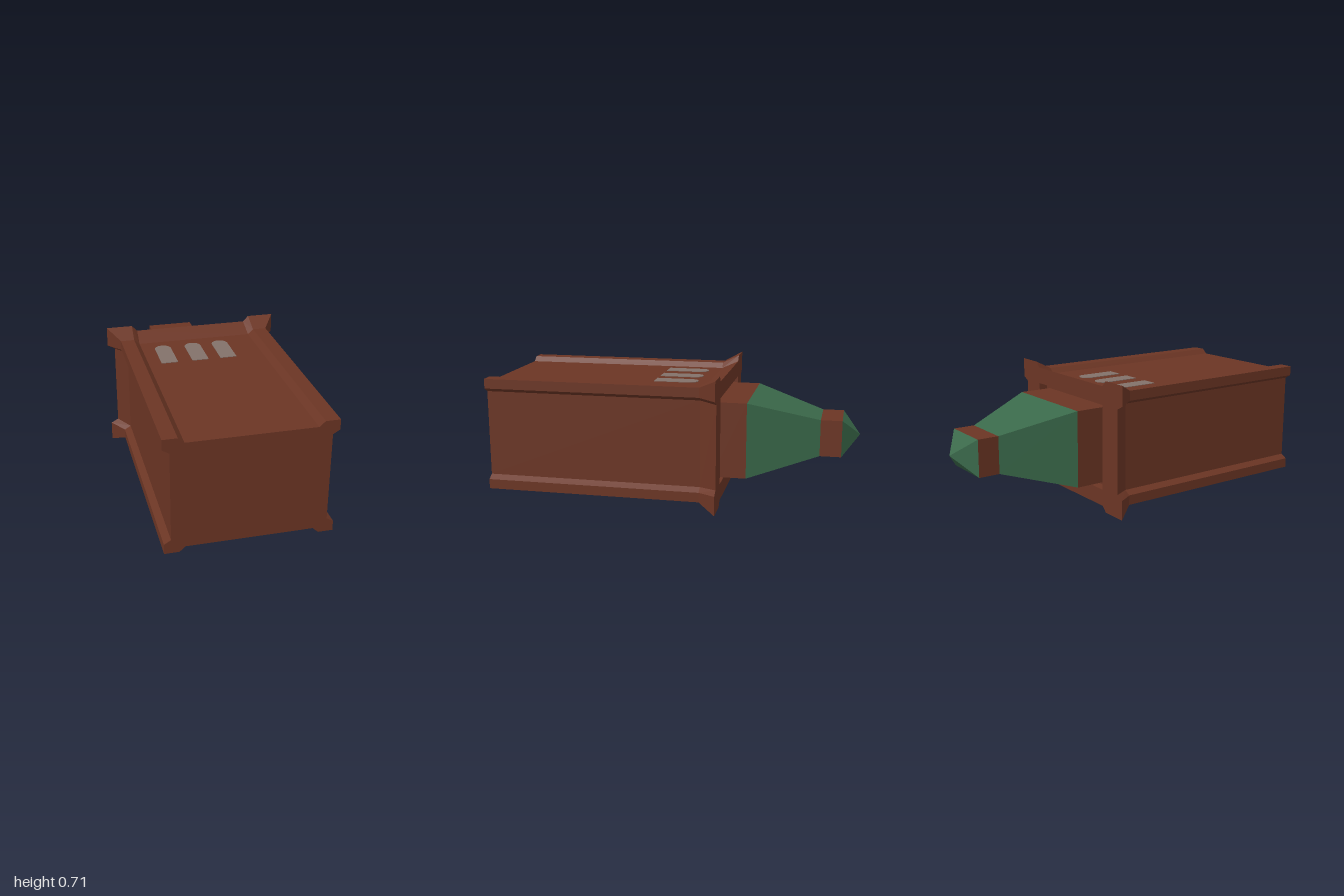
import * as THREE from 'three';

const CY = 0.357; // height of the long axis

// Ring of corner points, counter-clockwise seen from +z, mirrored into four quadrants.
function quadrants(pts) {
  const back = pts.slice().reverse();
  return [
    ...pts.map(([x, y]) => [x, y]),
    ...back.map(([x, y]) => [-x, y]),
    ...pts.map(([x, y]) => [-x, -y]),
    ...back.map(([x, y]) => [x, -y]),
  ];
}
const rect = (w, h) => quadrants([[w, h]]);

// Flat-shaded skin through rings placed from front (+z) to back (-z).
function loft(sections) {
  const pos = [];
  for (let s = 0; s < sections.length - 1; s++) {
    const [a, za] = sections[s];
    const [b, zb] = sections[s + 1];
    a.forEach((p, i) => {
      const j = (i + 1) % a.length;
      const ai = [...a[i], za], aj = [...a[j], za];
      const bi = [...b[i], zb], bj = [...b[j], zb];
      pos.push(...ai, ...bi, ...bj, ...ai, ...bj, ...aj);
    });
  }
  const g = new THREE.BufferGeometry();
  g.setAttribute('position', new THREE.Float32BufferAttribute(pos, 3));
  g.computeVertexNormals();
  return g;
}

const toVec = (ring) => ring.map(([x, y]) => new THREE.Vector2(x, y));

// Flat end face, optionally with an opening.
function cap(ring, z, facesBack, hole) {
  const shape = new THREE.Shape(toVec(ring));
  if (hole) shape.holes.push(new THREE.Path(toVec(hole)));
  const g = new THREE.ShapeGeometry(shape);
  if (facesBack) g.rotateY(Math.PI);
  return g.translate(0, 0, z);
}

export function createModel() {
  const brick = new THREE.MeshStandardMaterial({ color: 0x6b3524 });
  brick.name = 'brick';
  const copper = new THREE.MeshStandardMaterial({ color: 0x3a694a });
  copper.name = 'greenRoof';
  const grey = new THREE.MeshStandardMaterial({ color: 0x83726a });
  grey.name = 'windowGrey';

  const model = new THREE.Group();
  model.name = 'tower';
  const axis = new THREE.Group();
  axis.name = 'towerParts';
  axis.position.y = CY;
  model.add(axis);
  const add = (name, geometry, material) => {
    const m = new THREE.Mesh(geometry, material);
    m.name = name;
    axis.add(m);
    return m;
  };

  // Shaft with raised corners, and the flared parapet
  const shaft = quadrants([[0.39, 0.235], [0.425, 0.256], [0.425, 0.309], [0.35, 0.309], [0.32, 0.282]]);
  const flare = quadrants([[0.45, 0.228], [0.49, 0.25], [0.49, 0.357], [0.346, 0.357], [0.316, 0.326]]);
  const opening = rect(0.316, 0.236);
  const rimZ = -0.275, floorZ = -0.225;
  add('shaft', loft([[shaft, 1], [shaft, -0.18]]), brick);
  add('shaftBase', cap(shaft, 1, false), brick);
  add('parapet', loft([[shaft, -0.18], [flare, rimZ]]), brick);
  add('parapetRim', cap(flare, rimZ, true, opening), brick);
  add('parapetInside', loft([[opening.slice().reverse(), floorZ], [opening.slice().reverse(), rimZ]]), brick);
  add('parapetFloor', cap(opening, floorZ, true), brick);

  // Spire: plinth, sloping roof, lantern and pointed cap
  const wide = rect(0.285, 0.206);
  const narrow = rect(0.135, 0.1);
  add('spirePlinth', loft([[wide, floorZ], [wide, -0.41]]), brick);
  add('spireRoof', loft([[wide, -0.41], [narrow, -0.79]]), copper);
  add('lantern', loft([[narrow, -0.79], [narrow, -0.905]]), brick);
  add('lanternCap', loft([[narrow, -0.905], [rect(0, 0), -1]]), copper);

  // Three arched windows on the upper face
  const r = 0.045;
  const arch = new THREE.Shape();
  arch.moveTo(-r, -0.12);
  arch.lineTo(r, -0.12);
  arch.lineTo(r, 0.075);
  arch.absarc(0, 0.075, r, 0, Math.PI, false);
  arch.closePath();
  const windowGeo = new THREE.ExtrudeGeometry(arch, { depth: 0.004, bevelEnabled: false, curveSegments: 10 });
  windowGeo.rotateX(-Math.PI / 2);
  [-0.205, -0.035, 0.122].forEach((x, i) => {
    add('archedWindow' + (i + 1), windowGeo, grey).position.set(x, 0.281, 0);
  });

  return model;
}
